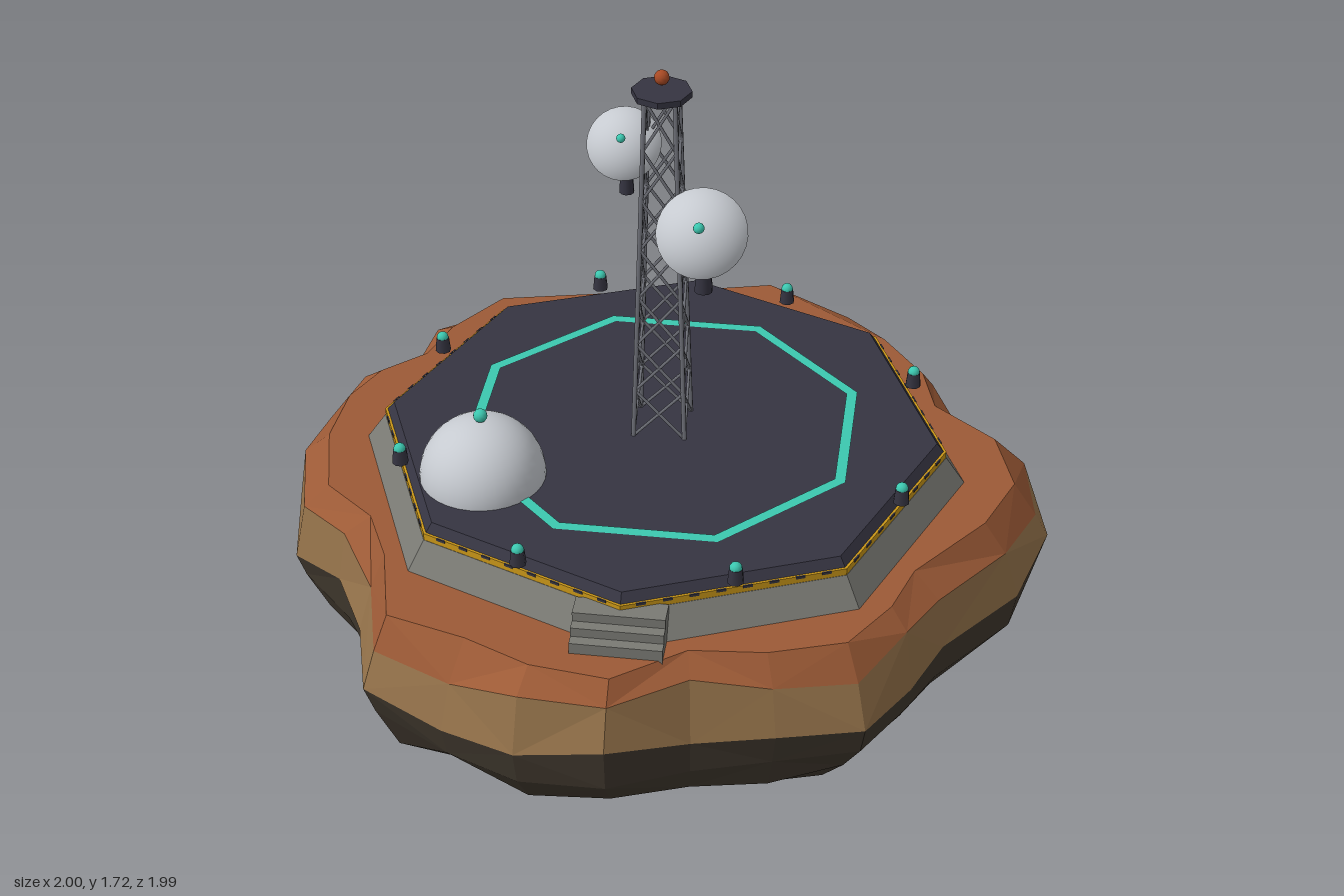
import * as THREE from 'three';

const mat = (name, color, side = THREE.FrontSide) => {
  const m = new THREE.MeshStandardMaterial({ color, side });
  m.name = name;
  return m;
};

// Repeatable value in -1..1
const hash = (a, b) => {
  const s = Math.sin(a * 127.1 + b * 311.7) * 43758.5453;
  return (s - Math.floor(s)) * 2 - 1;
};

const flat = (geo) => {
  const g = geo.index ? geo.toNonIndexed() : geo;
  g.computeVertexNormals();
  return g;
};

// Rock outline seen from above (x, z), counter-clockwise from the back
const OUTLINE = [
  [.2, -1], [-.02, -.92], [-.33, -.86], [-.63, -.78], [-.76, -.6], [-.8, -.44], [-.92, -.33],
  [-1, -.19], [-1, .02], [-.95, .27], [-.8, .4], [-.71, .56], [-.64, .81], [-.43, .9],
  [-.24, .98], [-.02, .99], [.17, .87], [.37, .83], [.58, .77], [.68, .6], [.75, .45],
  [.93, .2], [1, 0], [.95, -.22], [.76, -.37], [.7, -.53], [.57, -.7], [.43, -.84],
];
// Rock rings: height, scale, blend to a circle, height jitter, radius jitter
const RINGS = [
  [0, .53, .7, 0, .05], [.035, .68, .6, .015, .03], [.11, .82, .45, .03, .03],
  [.2, .92, .25, .035, .025], [.3, .985, .08, .03, .012], [.4, 1, 0, .035, 0],
  [.52, .965, 0, .03, .015], [.585, .905, 0, 0, .02],
];

function rockGeometry() {
  const n = OUTLINE.length;
  const point = (k, i) => {
    const [x, z] = OUTLINE[i % n], [y, f, blend, jy, jr] = RINGS[k];
    const r = Math.hypot(x, z);
    const s = f * (1 + (0.94 / r - 1) * blend) * (1 + jr * hash(i % n, k + 1));
    return [x * s, y + jy * hash(k + 5, i % n), z * s];
  };
  const pos = [], geo = new THREE.BufferGeometry();
  const tri = (...p) => p.forEach((v) => pos.push(...v));
  for (let i = 0; i < n; i++) tri([0, 0, 0], point(0, i + 1), point(0, i));
  const starts = [0];
  for (let k = 0; k < RINGS.length - 1; k++) {
    if (k >= 5) starts.push(pos.length / 3);
    for (let i = 0; i < n; i++) {
      const a = point(k, i), b = point(k, i + 1), c = point(k + 1, i + 1), d = point(k + 1, i);
      if ((i + k) % 2) { tri(a, b, c); tri(a, c, d); } else { tri(a, b, d); tri(b, c, d); }
    }
  }
  const last = RINGS.length - 1;
  for (let i = 0; i < n; i++) tri([0, .585, 0], point(last, i), point(last, i + 1));
  starts.push(pos.length / 3);
  geo.setAttribute('position', new THREE.Float32BufferAttribute(pos, 3));
  for (let g = 0; g < 3; g++) geo.addGroup(starts[g], starts[g + 1] - starts[g], g);
  geo.computeVertexNormals();
  return geo;
}

export function createModel() {
  const model = new THREE.Group();
  const darkRock = mat('dark rock', 0x40382e), tanRock = mat('tan rock', 0x94724a);
  const rustRock = mat('rust soil', 0x9c5a36), concrete = mat('concrete', 0x7a7a74);
  const deckMat = mat('dark deck', 0x353441), yellow = mat('warning yellow', 0xcc9818);
  const white = mat('pale shell', 0xc6cad0, THREE.DoubleSide), teal = mat('teal light', 0x3cc8b0);
  const steel = mat('steel', 0x70727a), red = mat('beacon red', 0xa84a24);

  const add = (parent, name, geo, material, x = 0, y = 0, z = 0) => {
    const m = new THREE.Mesh(geo, material);
    m.name = name;
    m.position.set(x, y, z);
    parent.add(m);
    return m;
  };
  const ball = (parent, name, r, material, x, y, z) =>
    add(parent, name, new THREE.SphereGeometry(r, 12, 8), material, x, y, z);
  // Round bar between two points
  const beam = (parent, name, a, b, r, material) => {
    const p = new THREE.Vector3(...a), q = new THREE.Vector3(...b), d = q.clone().sub(p);
    const m = add(parent, name, new THREE.CylinderGeometry(r, r, d.length(), 6), material);
    m.position.copy(p).add(q).multiplyScalar(.5);
    m.quaternion.setFromUnitVectors(new THREE.Vector3(0, 1, 0), d.normalize());
    return m;
  };

  add(model, 'rock', rockGeometry(), [darkRock, tanRock, rustRock]);

  // Everything on the rock shares one centre
  const base = new THREE.Group();
  base.name = 'station';
  base.position.set(-.015, 0, .01);
  model.add(base);

  // Eight-sided platform
  const slab = (name, rTop, rBottom, y0, y1, material) =>
    add(base, name, flat(new THREE.CylinderGeometry(rTop, rBottom, y1 - y0, 8)), material, 0, (y0 + y1) / 2, 0);
  slab('foundation', .738, .795, .575, .658, concrete);
  slab('warningBand', .737, .737, .656, .677, yellow);
  slab('deck', .712, .73, .677, .7, deckMat);
  const ring = new THREE.RingGeometry(.503, .5325, 8, 1, Math.PI / 8);
  add(base, 'landingRing', ring.rotateX(-Math.PI / 2), teal, 0, .703, 0);

  // Edge lights and dark dashes on the warning band, side by side
  for (let i = 0; i < 8; i++) {
    const side = new THREE.Group();
    side.name = 'platformSide';
    side.rotation.y = (i + .5) * Math.PI / 4;
    base.add(side);
    add(side, 'lightPost', new THREE.CylinderGeometry(.017, .021, .04, 8), deckMat, 0, .72, .688);
    ball(side, 'edgeLight', .016, teal, 0, .741, .688);
    for (let j = 0; j < 8; j++)
      add(side, 'warningDash', new THREE.BoxGeometry(.024, .007, .004), deckMat, (j - 3.5) * .066, .6745, .681);
  }

  // Front steps
  for (let i = 0; i < 3; i++) {
    const y = .615 + i * .025, depth = .115 - i * .027;
    add(base, 'step', new THREE.BoxGeometry(.224, y - .575, depth), concrete, 0, (y + .575) / 2, .7 + depth / 2);
  }

  // Dome
  add(base, 'dome', new THREE.SphereGeometry(.16, 32, 12, 0, Math.PI * 2, 0, Math.PI / 2), white, -.418, .7, .284);
  ball(base, 'domeLight', .018, teal, -.418, .877, .284);

  // Lattice tower
  const tower = new THREE.Group();
  tower.name = 'tower';
  base.add(tower);
  const bays = 7, y0 = .7, y1 = 1.655;
  const corner = (c, k) => {
    const t = k / bays, s = .066 - .029 * t;
    return [(c % 4 === 0 || c % 4 === 3 ? s : -s), y0 + (y1 - y0) * t, (c % 4 < 2 ? s : -s)];
  };
  for (let c = 0; c < 4; c++) {
    beam(tower, 'towerLeg', corner(c, 0), corner(c, bays), .0065, steel);
    for (let k = 0; k < bays; k++) {
      beam(tower, 'towerBrace', corner(c, k), corner(c + 1, k + 1), .004, steel);
      beam(tower, 'towerBrace', corner(c + 1, k), corner(c, k + 1), .004, steel);
    }
  }
  add(tower, 'towerCap', flat(new THREE.CylinderGeometry(.074, .074, .016, 8)), deckMat, 0, 1.66, 0);
  ball(tower, 'beacon', .019, red, 0, 1.7, 0);

  // Dish aerials: mount, arm, curved shell and tip light
  const R = .1364, depth = .06, tilt = .885;
  const addDish = (x, y, z, scale) => {
    const g = new THREE.Group();
    g.name = 'dishAerial';
    g.position.set(x, y, z);
    g.scale.setScalar(scale);
    model.add(g);
    add(g, 'dishMount', new THREE.CylinderGeometry(.015, .023, .145, 10), deckMat, 0, .0725, 0);
    beam(g, 'dishArm', [0, .138, 0], [0, .222, .088], .007, deckMat);
    const head = new THREE.Group();
    head.name = 'dishHead';
    head.position.set(0, .19, .045);
    head.rotation.x = tilt;
    g.add(head);
    const cap = new THREE.SphereGeometry(R, 28, 8, 0, Math.PI * 2, 0, .976);
    add(head, 'dishShell', cap, white, 0, depth - R, 0);
    ball(head, 'dishLight', .014, teal, 0, .079, 0);
  };
  addDish(.098, 1.155, .08, 1);
  addDish(-.112, 1.345, -.053, .82);

  return model;
}
